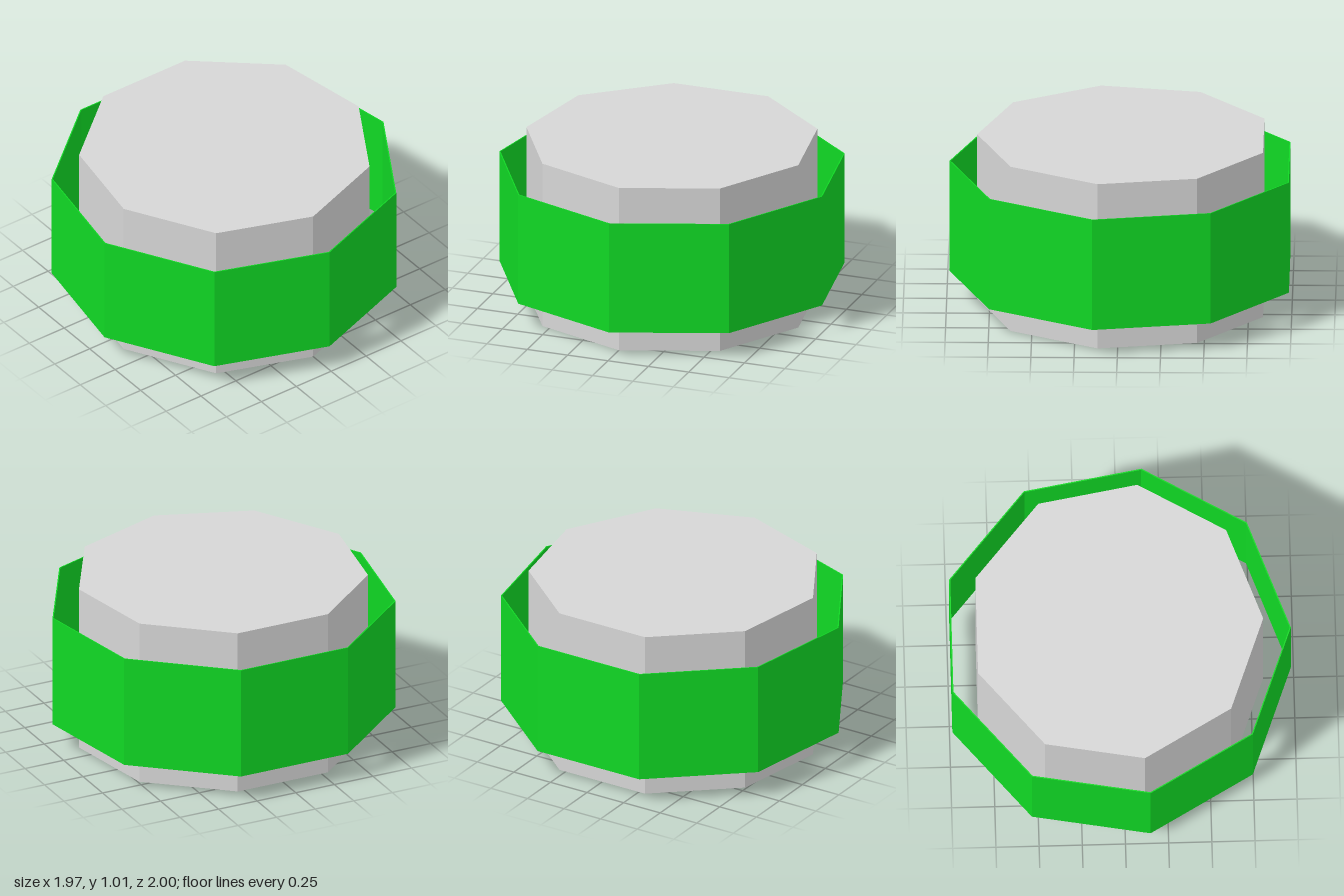
import * as THREE from 'three';

const SIDES = 9;
const CENTRE_X = -0.031; // a nine-sided ring with a corner on +x is not symmetric in x

export function createModel() {
  const model = new THREE.Group();
  model.name = 'bandedDrum';

  const grey = new THREE.MeshStandardMaterial({ color: 0xd6d6d6, flatShading: true });
  grey.name = 'light grey';
  const green = new THREE.MeshStandardMaterial({ color: 0x10d824, flatShading: true });
  green.name = 'bright green';

  // Solid nine-sided core
  const core = new THREE.Mesh(
    new THREE.CylinderGeometry(0.855, 0.855, 1.01, SIDES, 1, false, Math.PI / 2), grey);
  core.name = 'core';
  core.position.set(CENTRE_X, 0.505, 0);
  model.add(core);

  // Thin-walled band floating around the core, open above and below
  const outer = 1.015, inner = 1.008, bottom = 0.17, top = 0.847;
  const profile = [
    [outer, bottom], [outer, top], [inner, top], [inner, bottom], [outer, bottom],
  ].map(([r, y]) => new THREE.Vector2(r, y));
  const band = new THREE.Mesh(new THREE.LatheGeometry(profile, SIDES, Math.PI / 2), green);
  band.name = 'outerBand';
  band.position.x = CENTRE_X;
  model.add(band);

  return model;
}
